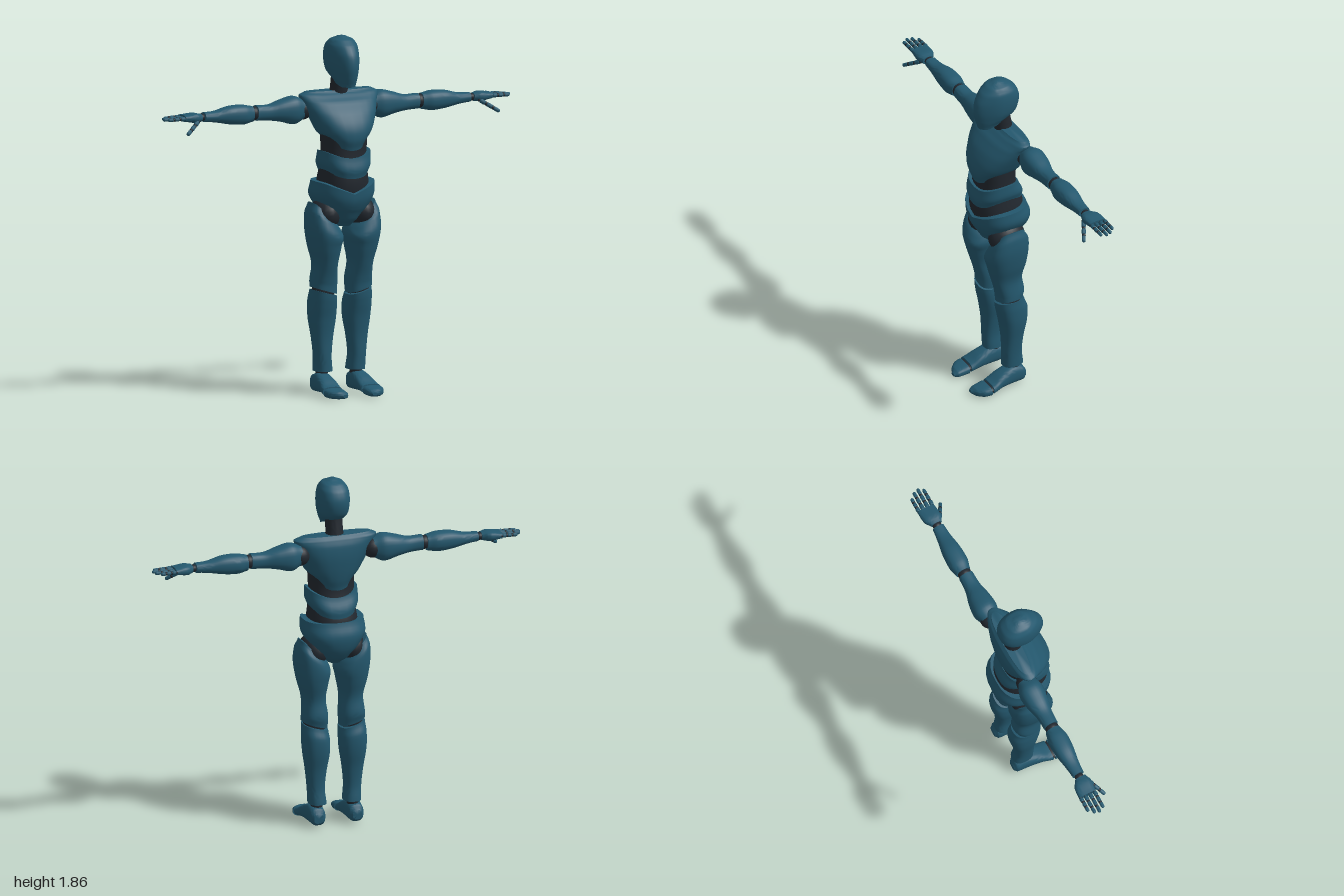
import * as THREE from 'three';
import { toCreasedNormals } from 'three/addons/utils/BufferGeometryUtils.js';

const clamp = (v) => Math.min(1, Math.max(0, v));

// Skin a tube through rings [t, a0, a1, b0, b1] along an axis. a and b are the
// extents in the other two axes: y -> (x, z), x -> (y, z), z -> (x, y).
function loft(axis, rings, { n = 28, steps = 5, p = 2.4, warp = null } = {}) {
  const rows = [];
  const last = rings.length - 1;
  const at = (i) => rings[Math.min(last, Math.max(0, i))];
  for (let i = 0; i < last; i++) {
    for (let s = 0; s < steps + (i === last - 1 ? 1 : 0); s++) {
      const u = s / steps;
      rows.push(at(i).map((v1, k) => {
        const v0 = at(i - 1)[k], v2 = at(i + 1)[k], v3 = at(i + 2)[k];
        if (k === 0) return v1 + (v2 - v1) * u;
        const m1 = (v2 - v0) / 2, m2 = (v3 - v1) / 2;
        return (2 * u ** 3 - 3 * u * u + 1) * v1 + (u ** 3 - 2 * u * u + u) * m1
          + (3 * u * u - 2 * u ** 3) * v2 + (u ** 3 - u * u) * m2;
      }));
    }
  }
  const place = (t, a, b) => {
    const v = axis === 'y' ? new THREE.Vector3(a, t, b)
      : axis === 'x' ? new THREE.Vector3(t, a, b) : new THREE.Vector3(a, b, t);
    if (warp) warp(v);
    return v;
  };
  const pow = (c) => Math.sign(c) * Math.abs(c) ** (2 / p);
  const pts = [], idx = [];
  const tri = (a, b, c) => (axis === 'y' ? idx.push(a, c, b) : idx.push(a, b, c));
  for (const [t, a0, a1, b0, b1] of rows) {
    for (let j = 0; j < n; j++) {
      const th = (j / n) * Math.PI * 2;
      pts.push(place(t, (a0 + a1) / 2 + (a1 - a0) / 2 * pow(Math.cos(th)),
        (b0 + b1) / 2 + (b1 - b0) / 2 * pow(Math.sin(th))));
    }
  }
  const top = (rows.length - 1) * n;
  for (let i = 0; i < rows.length - 1; i++) {
    for (let j = 0; j < n; j++) {
      const a = i * n + j, b = i * n + (j + 1) % n;
      tri(a, b, b + n);
      tri(a, b + n, a + n);
    }
  }
  // End caps
  for (const r of [rows[0], rows[rows.length - 1]]) {
    pts.push(place(r[0], (r[1] + r[2]) / 2, (r[3] + r[4]) / 2));
  }
  for (let j = 0; j < n; j++) {
    const k = (j + 1) % n;
    tri(pts.length - 2, k, j);
    tri(pts.length - 1, top + j, top + k);
  }
  const g = new THREE.BufferGeometry().setFromPoints(pts);
  g.setIndex(idx);
  return toCreasedNormals(g, 0.7);
}

// Symmetric rings [y, halfWidth, zBack, zFront]
const sym = (rows) => rows.map(([y, w, b, f]) => [y, -w, w, b, f]);

function ball(x, y, z, rx, ry = rx, rz = rx) {
  return new THREE.SphereGeometry(1, 20, 14).scale(rx, ry, rz).translate(x, y, z);
}

// Rounded rod between two points
function rod(a, b, r) {
  const dir = b.clone().sub(a);
  const g = new THREE.CapsuleGeometry(r, Math.max(0.001, dir.length() - 2 * r), 4, 10);
  const q = new THREE.Quaternion().setFromUnitVectors(new THREE.Vector3(0, 1, 0), dir.normalize());
  return g.applyQuaternion(q).translate((a.x + b.x) / 2, (a.y + b.y) / 2, (a.z + b.z) / 2);
}

// Copy to the other side of x = 0, with faces turned back outward
function mirror(geo) {
  const g = geo.index ? geo.toNonIndexed() : geo.clone();
  g.scale(-1, 1, 1);
  for (const at of Object.values(g.attributes)) {
    const s = at.itemSize, a = at.array;
    for (let i = 0; i < at.count; i += 3) {
      for (let k = 0; k < s; k++) {
        const m = (i + 1) * s + k, o = (i + 2) * s + k;
        [a[m], a[o]] = [a[o], a[m]];
      }
    }
  }
  return g;
}

export function createModel() {
  const model = new THREE.Group();
  model.name = 'mannequin';
  const armor = new THREE.MeshStandardMaterial({ color: 0x24586e });
  armor.name = 'teal armor';
  const joint = new THREE.MeshStandardMaterial({ color: 0x22282f });
  joint.name = 'dark joint';

  const add = (name, geo, mat) => {
    const m = new THREE.Mesh(geo, mat);
    m.name = name;
    model.add(m);
  };
  const pair = (name, geo, mat) => {
    const cap = name[0].toUpperCase() + name.slice(1);
    add('left' + cap, geo, mat);
    add('right' + cap, mirror(geo), mat);
  };

  // Head with a wedge face and a rising underside
  add('head', loft('y', sym([
    [1.6, 0.05, -0.05, 0.088], [1.64, 0.066, -0.1, 0.1], [1.7, 0.08, -0.132, 0.11],
    [1.76, 0.083, -0.14, 0.102], [1.81, 0.076, -0.122, 0.072], [1.84, 0.056, -0.088, 0.035],
    [1.856, 0.022, -0.05, 0]]), {
    p: 2.5,
    warp: (v) => {
      v.x *= 1 - 0.35 * clamp(v.z / 0.11);
      v.y += 0.035 * clamp((0.05 - v.z) / 0.1) * clamp((1.68 - v.y) / 0.08);
    } }), armor);
  add('neck', loft('y', sym([[1.52, 0.055, -0.115, -0.015], [1.58, 0.046, -0.105, -0.01],
    [1.67, 0.045, -0.09, 0.005]]), { p: 2 }), joint);

  // Torso shells over dark flexible sections
  add('chest', loft('y', sym([
    [1.275, 0.085, -0.115, 0.11], [1.33, 0.115, -0.13, 0.126], [1.39, 0.15, -0.14, 0.12],
    [1.46, 0.183, -0.145, 0.085], [1.52, 0.207, -0.14, 0.035], [1.556, 0.222, -0.125, -0.01],
    [1.572, 0.19, -0.11, -0.03]]), {
    p: 2.6,
    warp: (v) => { v.y += 0.055 * (v.x / 0.12) ** 2 * clamp((1.36 - v.y) / 0.085); } }), armor);
  add('upperAbdomen', loft('y', sym([[1.19, 0.115, -0.12, 0.1], [1.28, 0.117, -0.105, 0.098],
    [1.36, 0.12, -0.11, 0.105]])), joint);
  add('waistBand', loft('y', sym([[1.13, 0.112, -0.145, 0.118], [1.17, 0.132, -0.144, 0.126],
    [1.235, 0.133, -0.115, 0.112]]), {
    p: 2.6, warp: (v) => { v.y += 0.036 * (v.x / 0.13) ** 2; } }), armor);
  add('lowerAbdomen', loft('y', sym([[1.0, 0.13, -0.15, 0.105], [1.1, 0.128, -0.152, 0.115],
    [1.2, 0.115, -0.125, 0.11]])), joint);
  add('pelvis', loft('y', sym([
    [0.875, 0.035, -0.09, 0.035], [0.91, 0.068, -0.14, 0.07], [0.97, 0.122, -0.173, 0.1],
    [1.04, 0.163, -0.183, 0.12], [1.112, 0.16, -0.158, 0.126]]), {
    p: 2.5,
    warp: (v) => {
      const front = clamp((v.z + 0.04) / 0.14);
      v.y -= 0.062 * front * (1 - clamp(Math.abs(v.x) / 0.16)) * clamp((v.y - 0.95) / 0.16);
    } }), armor);

  // Legs
  pair('hipJoint', ball(0.1, 0.94, -0.02, 0.075, 0.085, 0.1), joint);
  pair('thigh', loft('y', [
    [0.54, 0.035, 0.168, -0.1, 0.034], [0.59, 0.034, 0.166, -0.112, 0.04],
    [0.68, 0.043, 0.16, -0.102, 0.064], [0.78, 0.027, 0.184, -0.122, 0.09],
    [0.88, 0.018, 0.198, -0.13, 0.1], [0.96, 0.035, 0.194, -0.125, 0.08],
    [1.005, 0.065, 0.178, -0.1, 0.045]], {
    p: 2.5,
    warp: (v) => {
      const k = clamp((v.y - 0.78) / 0.22);
      v.y -= k * (0.1 * clamp((0.17 - v.x) / 0.13) + 0.025 * ((v.z + 0.03) / 0.1) ** 2);
      v.y += 0.02 * ((v.x - 0.1) / 0.065) * clamp((0.6 - v.y) / 0.06);
    } }), armor);
  pair('kneeJoint', ball(0.1, 0.54, -0.038, 0.06), joint);
  pair('shin', loft('y', [
    [0.12, 0.048, 0.14, -0.114, 0], [0.2, 0.055, 0.143, -0.104, 0.002],
    [0.3, 0.045, 0.154, -0.11, 0.004], [0.4, 0.03, 0.168, -0.128, 0.016],
    [0.48, 0.03, 0.17, -0.13, 0.032], [0.53, 0.034, 0.165, -0.112, 0.038]], {
    p: 2.5,
    warp: (v) => { v.y += 0.018 * ((v.x - 0.1) / 0.065) * clamp((v.y - 0.44) / 0.09); } }), armor);
  pair('ankleJoint', loft('y', [[0.07, 0.07, 0.13, -0.095, -0.025],
    [0.15, 0.065, 0.128, -0.095, -0.02]], { p: 2 }), joint);
  pair('foot', loft('z', [
    [-0.12, 0.08, 0.13, 0.025, 0.075], [-0.105, 0.065, 0.142, 0.012, 0.1],
    [-0.04, 0.06, 0.148, 0.012, 0.113], [0.03, 0.056, 0.156, 0.014, 0.088],
    [0.09, 0.056, 0.167, 0.008, 0.056]], { p: 2.8 }), armor);
  pair('toeJoint', loft('z', [[0.08, 0.062, 0.16, 0.012, 0.048],
    [0.115, 0.062, 0.16, 0.01, 0.044]]), joint);
  pair('toe', loft('z', [
    [0.102, 0.056, 0.168, 0.001, 0.052], [0.14, 0.058, 0.158, 0, 0.046],
    [0.17, 0.062, 0.13, 0.002, 0.038], [0.187, 0.072, 0.1, 0.01, 0.026]], { p: 2.8 }), armor);

  // Arms
  pair('shoulderJoint', ball(0.2, 1.48, -0.085, 0.055), joint);
  pair('upperArm', loft('x', [
    [0.195, 1.43, 1.535, -0.135, -0.035], [0.25, 1.406, 1.552, -0.152, -0.022],
    [0.32, 1.422, 1.537, -0.146, -0.028], [0.39, 1.434, 1.517, -0.128, -0.042],
    [0.465, 1.438, 1.518, -0.124, -0.046]]), armor);
  pair('elbowJoint', ball(0.477, 1.477, -0.086, 0.036), joint);
  pair('forearm', loft('x', [
    [0.488, 1.434, 1.516, -0.128, -0.048], [0.54, 1.424, 1.526, -0.14, -0.035],
    [0.62, 1.43, 1.524, -0.138, -0.038], [0.7, 1.445, 1.505, -0.125, -0.05],
    [0.765, 1.452, 1.502, -0.118, -0.055]]), armor);
  pair('wristJoint', ball(0.778, 1.476, -0.087, 0.024, 0.02, 0.024), joint);
  pair('palm', loft('x', [
    [0.785, 1.456, 1.496, -0.115, -0.055], [0.82, 1.452, 1.502, -0.138, -0.042],
    [0.885, 1.462, 1.496, -0.144, -0.048]], { p: 3 }), armor);

  // Fingers: three rods each, with small dark knuckles
  const digit = (name, base, tip, r) => {
    for (let s = 0; s < 3; s++) {
      const a = base.clone().lerp(tip, s / 3), b = base.clone().lerp(tip, (s + 1) / 3);
      pair(name + 'Knuckle' + (s + 1), ball(a.x, a.y, a.z, r * 0.85), joint);
      pair(name + 'Segment' + (s + 1), rod(a, b, r * (1 - 0.08 * s)), armor);
    }
  };
  [['littleFinger', 0.968], ['ringFinger', 0.992], ['middleFinger', 1], ['indexFinger', 0.985]]
    .forEach(([name, end], i) => {
      const z = -0.135 + 0.026 * i;
      digit(name, new THREE.Vector3(0.882, 1.48, z), new THREE.Vector3(end, 1.478, z), 0.011);
    });
  digit('thumb', new THREE.Vector3(0.81, 1.463, -0.055), new THREE.Vector3(0.9, 1.403, -0.002), 0.012);

  return model;
}
